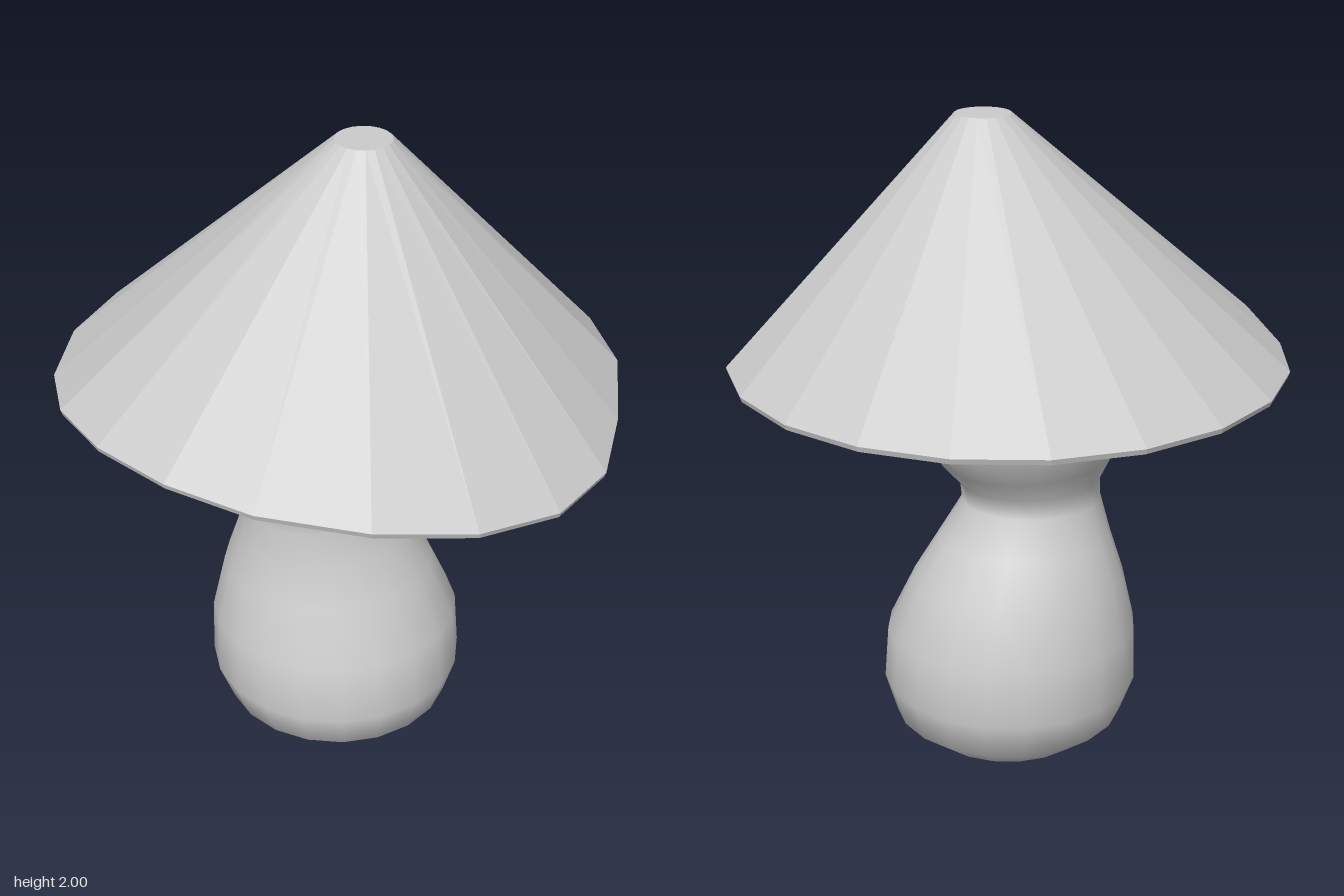
import * as THREE from 'three';
import { mergeVertices } from 'three/addons/utils/BufferGeometryUtils.js';

const GREY = 0xcccccc;

// Lathe whose vertices are moved by a rule, welded so normals stay seamless
function movedLathe(profile, segments, move) {
  const geometry = new THREE.LatheGeometry(profile.map(([r, y]) => new THREE.Vector2(r, y)), segments);
  const pos = geometry.attributes.position;
  const v = new THREE.Vector3();
  for (let i = 0; i < pos.count; i++) {
    const row = i % profile.length;
    move(v.fromBufferAttribute(pos, i), row);
    pos.setXYZ(i, v.x, v.y, v.z);
  }
  geometry.deleteAttribute('uv');
  geometry.deleteAttribute('normal');
  const welded = mergeVertices(geometry, 1e-4);
  welded.computeVertexNormals();
  return welded;
}

// Leaning gourd-shaped body: [y, xMin, xMax, zMin, zMax, tilt]
function bodyGeometry() {
  const rings = [
    [0, 0, 0, 0, 0, 0],
    [0.01, -0.16, 0.16, -0.16, 0.16, 0],
    [0.035, -0.26, 0.26, -0.26, 0.26, 0],
    [0.11, -0.355, 0.355, -0.355, 0.345, 0],
    [0.23, -0.40, 0.39, -0.395, 0.385, 0],
    [0.40, -0.395, 0.378, -0.375, 0.345, 0],
    [0.57, -0.355, 0.30, -0.315, 0.26, 0],
    [0.70, -0.315, 0.215, -0.245, 0.22, 0],
    [0.81, -0.287, 0.14, -0.178, 0.197, 0],
    [0.88, -0.285, 0.147, -0.185, 0.20, 0.03],
    [0.96, -0.325, 0.21, -0.235, 0.255, 0.06],
    [1.08, -0.395, 0.297, -0.30, 0.345, 0.07],
    [1.17, -0.41, 0.302, -0.305, 0.368, 0.08],
    [1.245, -0.365, 0.235, -0.245, 0.325, 0.12],
    [1.28, -0.22, 0.10, -0.12, 0.18, 0.12],
    [1.29, -0.06, -0.06, 0.03, 0.03, 0.12],
  ];
  const profile = rings.map((r, i) => [i === 0 || i === rings.length - 1 ? 0 : 1, r[0]]);
  return movedLathe(profile, 20, (v, row) => {
    const [y, x0, x1, z0, z1, tilt] = rings[row];
    const dx = v.x * (x1 - x0) / 2;
    const dz = v.z * (z1 - z0) / 2;
    v.set((x0 + x1) / 2 + dx, y + tilt * (dz - dx) * 0.85, (z0 + z1) / 2 + dz);
  });
}

// Thin faceted cone with a wavy front rim and an off-centre flat tip
function hatGeometry() {
  const profile = [
    [0, 1.965], [0.075, 1.965],
    [0.825, 1.257], [0.83, 1.273],
    [0.082, 2], [0, 2],
  ];
  return movedLathe(profile, 20, (v, row) => {
    if (row === 2 || row === 3) {
      const phi = Math.atan2(v.x, v.z);
      if (Math.abs(phi) < Math.PI / 2) v.y -= 0.068 * Math.sin(2 * phi);
      const a = phi - 0.15 * Math.PI;
      if (Math.abs(a) < Math.PI / 4) v.x += 0.08 * Math.cos(2 * a);
    } else {
      v.x += 0.072;
      v.z -= 0.004;
    }
  });
}

// Round rod between two points
function rod(from, to, radius, material) {
  const axis = to.clone().sub(from);
  const mesh = new THREE.Mesh(new THREE.CylinderGeometry(radius, radius, axis.length(), 20), material);
  mesh.position.copy(from).addScaledVector(axis, 0.5);
  mesh.quaternion.setFromUnitVectors(new THREE.Vector3(0, 1, 0), axis.normalize());
  return mesh;
}

export function createModel() {
  const group = new THREE.Group();
  const smooth = new THREE.MeshStandardMaterial({ color: GREY });
  const faceted = new THREE.MeshStandardMaterial({ color: GREY, flatShading: true });

  const body = new THREE.Mesh(bodyGeometry(), smooth);
  body.name = 'body';

  const hat = new THREE.Mesh(hatGeometry(), faceted);
  hat.name = 'hat';

  // Pole holding the hat above the head
  const pole = rod(new THREE.Vector3(-0.05, 1.15, 0.02), new THREE.Vector3(0.07, 1.97, 0), 0.08, smooth);
  pole.name = 'pole';

  group.add(body, hat, pole);
  return group;
}
